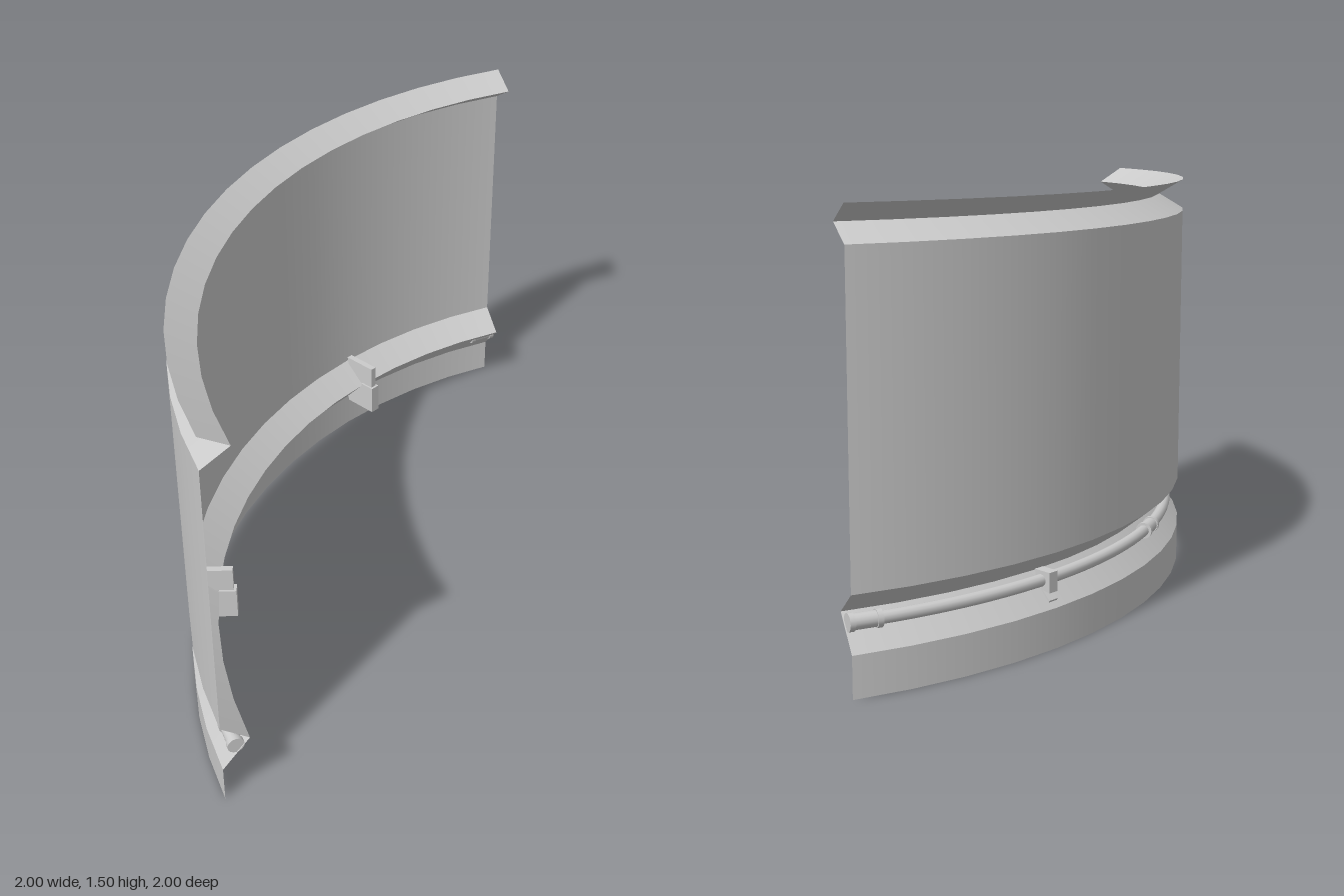
import * as THREE from 'three';

const material = new THREE.MeshStandardMaterial({ color: 0xcccccc });
const sheetMaterial = new THREE.MeshStandardMaterial({ color: 0xcccccc, side: THREE.DoubleSide });
const DEG = Math.PI / 180;
const PIPE_R = 1.947, PIPE_Y = 0.228;

// Quarter-circle wall: bands between successive [radius, height] points, sharp at each fold
const PROFILE = [[2, 0], [2, 0.14], [1.9, 0.25], [2, 0.33], [2, 1.38], [1.9, 1.44], [2, 1.5]];

function addMesh(parent, geometry, name, mat = material) {
  const mesh = new THREE.Mesh(geometry, mat);
  mesh.name = name;
  parent.add(mesh);
  return mesh;
}

// Group whose local +x points radially outward at the given angle round the arc
function station(parent, angle, name) {
  const group = new THREE.Group();
  group.name = name;
  group.rotation.y = Math.PI / 2 + angle;
  parent.add(group);
  return group;
}

// Plate cut from a radial profile, centred on its thickness
function plate(points, width) {
  const shape = new THREE.Shape(points.map(([r, y]) => new THREE.Vector2(r, y)));
  return new THREE.ExtrudeGeometry(shape, { depth: width, bevelEnabled: false })
    .translate(0, 0, -width / 2);
}

function pipeRing(radius, length, offset = 0) {
  return new THREE.CylinderGeometry(radius, radius, length, 16)
    .rotateX(Math.PI / 2).translate(PIPE_R, PIPE_Y, offset);
}

export function createModel() {
  const model = new THREE.Group();
  model.name = 'curvedPanel';
  const arc = new THREE.Group();
  arc.name = 'panelArc';
  arc.position.set(1, 0, 1); // centre of curvature
  model.add(arc);

  // Folded wall sheet
  const names = ['skirt', 'lowerGrooveBottom', 'lowerGrooveTop', 'wall', 'upperGrooveBottom', 'upperGrooveTop'];
  names.forEach((name, i) => {
    const [r0, y0] = PROFILE[i], [r1, y1] = PROFILE[i + 1];
    const band = new THREE.CylinderGeometry(r1, r0, y1 - y0, 16, 1, true, Math.PI, Math.PI / 2);
    addMesh(arc, band.translate(0, (y0 + y1) / 2, 0), name, sheetMaterial);
  });

  // Pipe lying in the outer groove
  const points = [];
  for (let i = 0; i <= 32; i++) {
    const a = (0.8 + 88.4 * i / 32) * DEG;
    points.push(new THREE.Vector3(-PIPE_R * Math.sin(a), PIPE_Y, -PIPE_R * Math.cos(a)));
  }
  addMesh(arc, new THREE.TubeGeometry(new THREE.CatmullRomCurve3(points), 48, 0.021, 12), 'pipe');

  // Collars at the pipe ends and middle
  for (const degrees of [1.75, 45, 88.25]) {
    const collar = station(arc, degrees * DEG, 'pipeCollar');
    addMesh(collar, pipeRing(0.026, 0.1), 'collarSleeve');
    for (const side of [-1, 1]) addMesh(collar, pipeRing(0.03, 0.018, side * 0.046), 'collarFlange');
  }

  // Brackets inside the wall, with pipe clips on the outside
  for (const degrees of [22.5, 67.5]) {
    const bracket = station(arc, degrees * DEG, 'bracket');
    addMesh(bracket, plate([[1.845, 0.26], [1.91, 0.26], [1.985, 0.325], [1.99, 0.355], [1.845, 0.355]], 0.025), 'bracketUpper');
    addMesh(bracket, plate([[1.835, 0.14], [1.975, 0.14], [1.985, 0.165], [1.9, 0.25], [1.9, 0.262], [1.835, 0.262]], 0.04), 'bracketLower');
    addMesh(bracket, plate([[1.93, 0.2], [1.985, 0.19], [1.985, 0.26], [1.92, 0.262]], 0.04), 'pipeClip');
  }
  return model;
}
